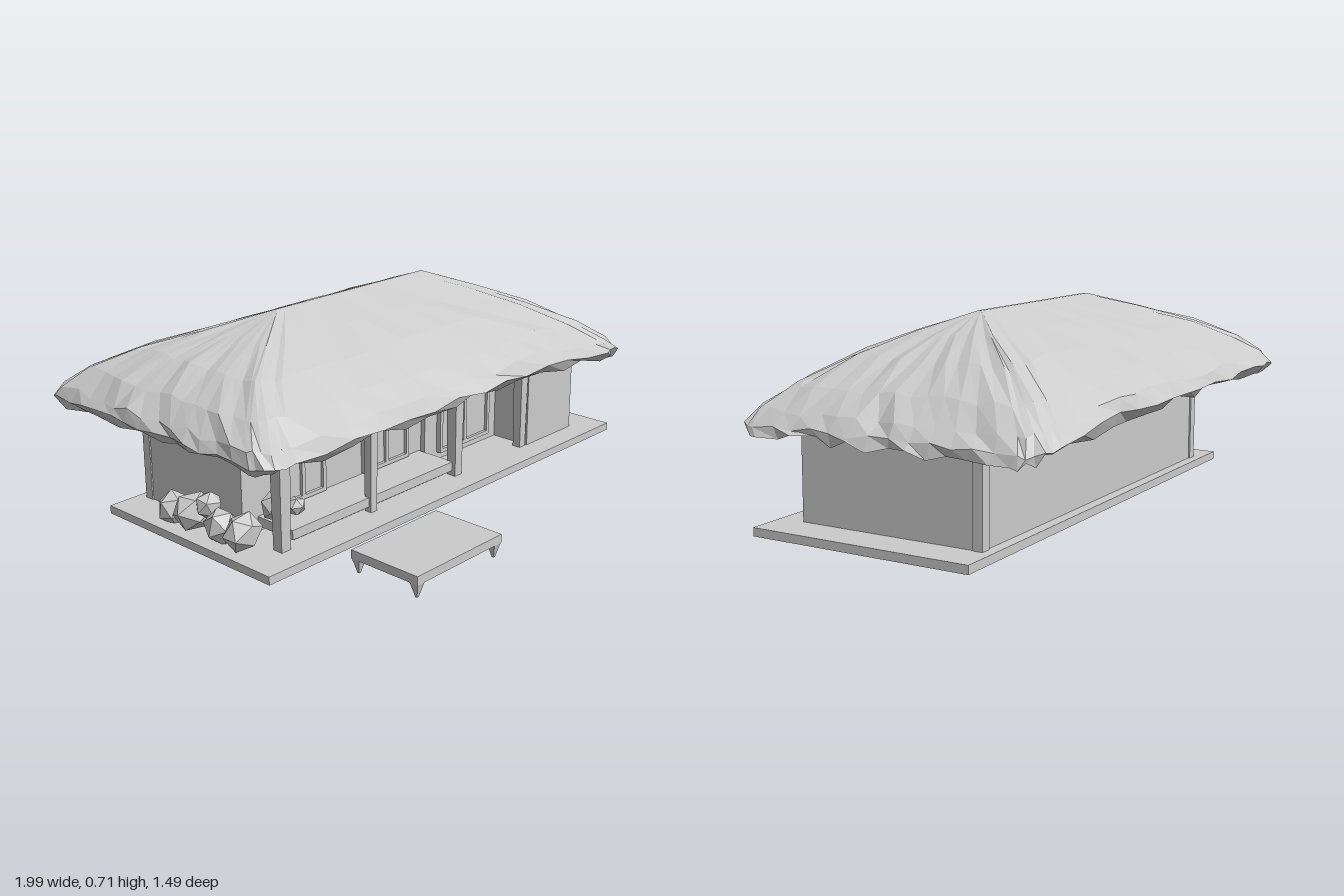
import * as THREE from 'three';

const mat = new THREE.MeshStandardMaterial({ color: 0xcccccc, flatShading: true });
const thatchMat = new THREE.MeshStandardMaterial({ color: 0xcccccc, flatShading: true, side: THREE.DoubleSide });

// Repeatable noise in -1..1
const noise = (a, b) => {
  const s = Math.sin(a * 127.1 + b * 311.7) * 43758.5453;
  return (s - Math.floor(s)) * 2 - 1;
};

function createRoof() {
  // Rings from ridge to eave to soffit: xMin, xMax, zMin, zMax, y, roughness
  const rings = [
    [-0.41, 0.37, -0.165, -0.15, 0.712, 0],
    [-0.60, 0.53, -0.32, 0.01, 0.655, 0.004],
    [-0.78, 0.68, -0.48, 0.16, 0.597, 0.007],
    [-0.91, 0.84, -0.62, 0.29, 0.525, 0.01],
    [-0.975, 0.93, -0.705, 0.375, 0.46, 0.012],
    [-0.99, 0.98, -0.735, 0.405, 0.42, 0.01],
    [-0.965, 0.98, -0.70, 0.37, 0.39, 0.016],
    [-0.80, 0.87, -0.48, 0.25, 0.415, 0.006],
    [-0.40, 0.40, -0.17, -0.15, 0.42, 0],
  ];
  // Unit square outline with rounded corners
  const outline = [];
  const side = 13, corner = 5, r = 0.13;
  for (let q = 0; q < 4; q++) {
    const c = Math.cos(q * Math.PI / 2), s = Math.sin(q * Math.PI / 2);
    const add = (u, v) => outline.push([u * c - v * s, u * s + v * c]);
    for (let i = 0; i < side; i++) add(1, (1 - r) * (2 * i / side - 1));
    for (let i = 0; i < corner; i++) {
      const a = i / corner * Math.PI / 2;
      add(1 - r + r * Math.cos(a), 1 - r + r * Math.sin(a));
    }
  }
  const n = outline.length, pos = [], idx = [];
  rings.forEach(([x0, x1, z0, z1, y, rough], k) => {
    outline.forEach(([u, v], i) => {
      const x = (x0 + x1) / 2 + u * (x1 - x0) / 2;
      const z = (z0 + z1) / 2 + v * (z1 - z0) / 2;
      const push = noise(i, k) * rough;
      // The eave sags toward the +x end
      const sag = k < 7 ? 0.05 * Math.max(0, (x - 0.45) / 0.53) : 0;
      pos.push(x + u * push, y - sag + noise(i + 40, k + 9) * rough, z + v * push);
    });
  });
  for (let k = 0; k < rings.length - 1; k++) {
    for (let i = 0; i < n; i++) {
      const a = k * n + i, b = k * n + (i + 1) % n;
      idx.push(a, b, a + n, b, b + n, a + n);
    }
  }
  // Narrow ridge cap
  for (let i = 1; i < n - 1; i++) idx.push(0, i + 1, i);
  const g = new THREE.BufferGeometry();
  g.setAttribute('position', new THREE.Float32BufferAttribute(pos, 3));
  g.setIndex(idx);
  g.computeVertexNormals();
  const m = new THREE.Mesh(g, thatchMat);
  m.name = 'thatchedRoof';
  return m;
}

export function createModel() {
  const model = new THREE.Group();
  model.name = 'thatchedCottage';

  // Box given by its limits
  const box = (name, x0, x1, y0, y1, z0, z1, parent = model) => {
    const m = new THREE.Mesh(new THREE.BoxGeometry(x1 - x0, y1 - y0, z1 - z0), mat);
    m.position.set((x0 + x1) / 2, (y0 + y1) / 2, (z0 + z1) / 2);
    m.name = name;
    parent.add(m);
    return m;
  };
  // Faceted stone
  const rock = (name, x, y, z, size, seed) => {
    const g = new THREE.IcosahedronGeometry(size, 0);
    const m = new THREE.Mesh(g, mat);
    m.position.set(x, y, z);
    m.rotation.set(seed, seed * 1.7, seed * 0.6);
    m.scale.set(1, 0.9 + 0.1 * noise(seed, 1), 1.1);
    m.name = name;
    model.add(m);
  };

  model.add(createRoof());
  box('foundation', -0.92, 0.99, 0, 0.03, -0.5, 0.33);

  // Walls around the rooms, with the porch left open at the front
  box('backWall', -0.78, 0.85, 0.03, 0.43, -0.46, -0.42);
  box('rightEndWall', -0.78, -0.74, 0.03, 0.43, -0.42, 0.05);
  box('porchWall', -0.74, 0.13, 0.03, 0.43, 0.01, 0.05);
  box('entryWall', 0.13, 0.56, 0.03, 0.43, 0.03, 0.07);
  box('endRoom', 0.56, 0.85, 0.03, 0.43, -0.42, 0.235);
  box('porchDeck', -0.71, 0.12, 0.05, 0.085, 0.05, 0.22);
  box('deckSupport', -0.68, 0.10, 0.03, 0.05, 0.07, 0.19);
  box('eaveBeam', -0.78, 0.85, 0.38, 0.41, 0.195, 0.235);

  // Porch posts, slightly wider at the top
  for (const [x, w] of [[-0.755, 0.048], [-0.325, 0.035], [0.135, 0.045], [0.535, 0.04]]) {
    const g = new THREE.CylinderGeometry(w * 0.72, w * 0.6, 0.37, 4).rotateY(Math.PI / 4);
    const m = new THREE.Mesh(g, mat);
    m.position.set(x, 0.215, 0.215);
    m.name = 'porchPost';
    model.add(m);
  }
  // Corner posts at the back
  for (const x of [-0.765, 0.835]) box('backPost', x - 0.02, x + 0.02, 0.03, 0.42, -0.466, -0.43);

  // Framed doors
  const door = (x0, x1, y0, y1, z) => {
    const d = new THREE.Group();
    d.name = 'framedDoor';
    const t = 0.015;
    box('doorPanel', x0, x1, y0, y1, z, z + 0.008, d);
    for (const x of [x0, (x0 + x1) / 2 - t / 2, x1 - t]) box('doorStile', x, x + t, y0, y1, z, z + 0.02, d);
    for (const y of [y0, y1 - t]) box('doorRail', x0, x1, y, y + t, z, z + 0.02, d);
    model.add(d);
  };
  door(-0.62, -0.40, 0.09, 0.34, 0.05);
  door(-0.20, 0.04, 0.09, 0.34, 0.05);
  door(0.20, 0.50, 0.06, 0.34, 0.07);

  // Stones and jars beside the end wall and on the porch
  [[-0.85, 0.10, 0.13, 0.07], [-0.84, 0.08, 0.01, 0.065], [-0.85, 0.10, -0.12, 0.07],
    [-0.84, 0.075, -0.24, 0.06], [-0.84, 0.14, -0.05, 0.05]].forEach(([x, y, z, s], i) => rock('stackedStone', x, y, z, s, i + 1));
  rock('porchJar', -0.69, 0.14, 0.12, 0.055, 7);
  rock('porchJar', -0.60, 0.11, 0.12, 0.035, 9);

  // Low bench in front
  const bench = new THREE.Group();
  bench.name = 'lowBench';
  box('benchTop', -0.68, -0.26, 0.052, 0.083, 0.46, 0.745, bench);
  for (const x of [-0.662, -0.278]) {
    for (const z of [0.478, 0.727]) {
      const leg = new THREE.Mesh(new THREE.CylinderGeometry(0.024, 0.005, 0.053, 4).rotateY(Math.PI / 4), mat);
      leg.position.set(x, 0.0265, z);
      leg.name = 'benchLeg';
      bench.add(leg);
    }
  }
  model.add(bench);
  return model;
}
